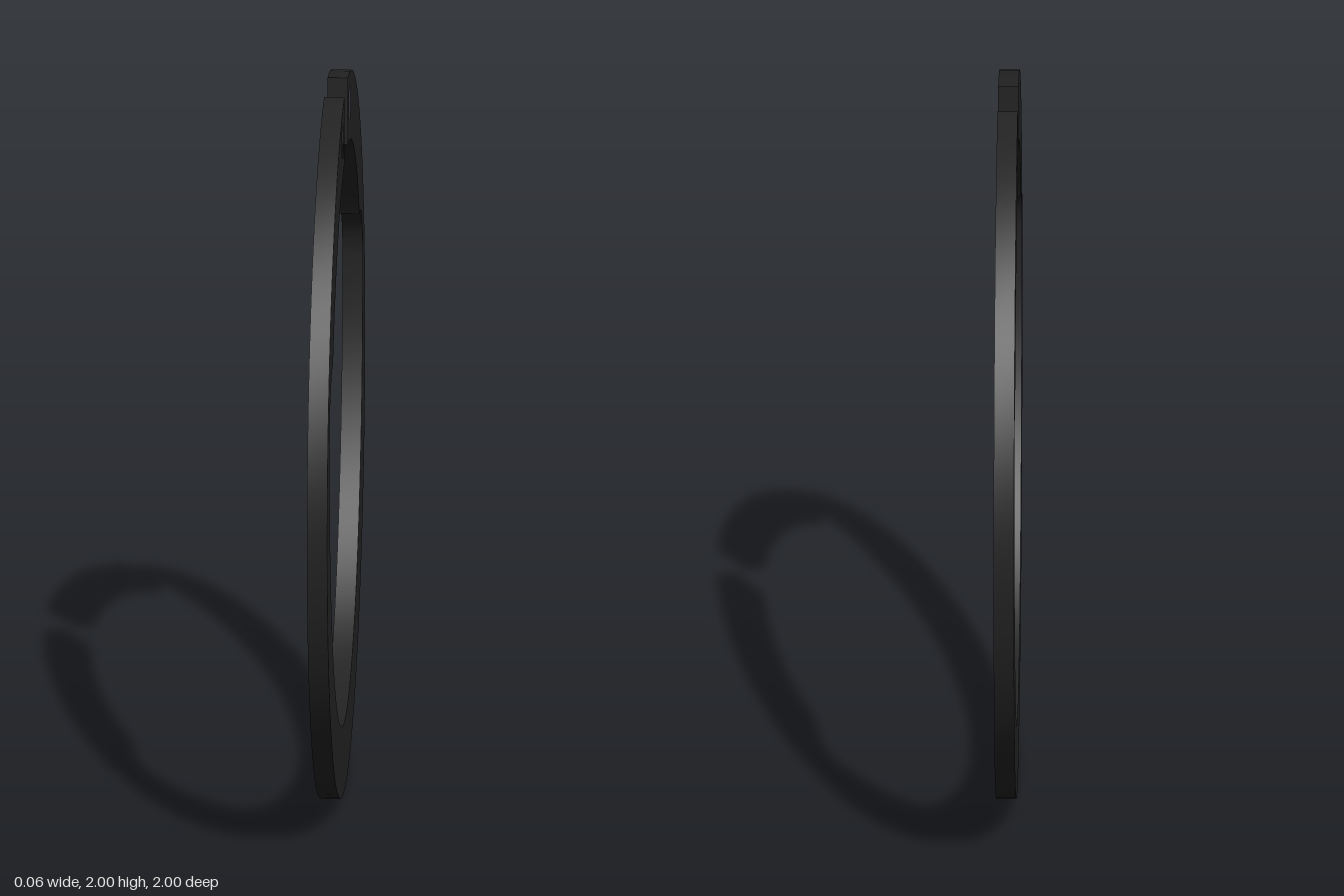
import * as THREE from 'three';
import { toCreasedNormals } from 'three/addons/utils/BufferGeometryUtils.js';

const OUTER = 1, INNER = 0.81, GAP = 0.09, THICKNESS = 0.056;
const CY = 1;              // height of the ring centre
const NOTCH = 0.18;        // radius of the rounded notch
const NOTCH_X = 0.695, NOTCH_Y = 1.24;
const BOW_Y = 1.2;         // centre of the elliptical lower opening

function ringShape() {
  const s = new THREE.Shape();
  const a = Math.acos(GAP / OUTER);
  const b = Math.acos(GAP / INNER);
  const c = Math.acos(NOTCH_X / INNER);

  // outer edge, clockwise from one side of the gap to the other
  s.moveTo(GAP, CY + Math.sin(a) * OUTER);
  s.absarc(0, CY, OUTER, a, -Math.PI - a, true);
  s.absarc(0, CY, OUTER, Math.PI - a, Math.PI - a, true);

  // inner edge back: lug arc, notch, tapering bow, notch, lug arc
  s.lineTo(-GAP, CY + Math.sin(b) * INNER);
  s.absarc(0, CY, INNER, Math.PI - b, Math.PI - c, false);
  s.absarc(-NOTCH_X, NOTCH_Y, NOTCH, Math.PI / 2, Math.PI, false);
  s.absellipse(0, BOW_Y, NOTCH_X + NOTCH, BOW_Y - 0.195, Math.PI, 2 * Math.PI, false, 0);
  s.absarc(NOTCH_X, NOTCH_Y, NOTCH, 0, Math.PI / 2, false);
  s.absarc(0, CY, INNER, c, b, false);
  s.closePath();

  // plier holes in both lugs
  for (const side of [-1, 1]) {
    const hole = new THREE.Path();
    hole.absarc(side * 0.182, 1.896, 0.047, 0, Math.PI * 2, true);
    s.holes.push(hole);
  }
  return s;
}

export function createModel() {
  const group = new THREE.Group();
  group.name = 'retainingRing';

  const darkSteel = new THREE.MeshStandardMaterial({ color: 0x232323 });
  darkSteel.name = 'dark steel';

  // flat ring standing in the YZ plane
  let geometry = new THREE.ExtrudeGeometry(cleanShape(ringShape()), {
    depth: THICKNESS, bevelEnabled: false, curveSegments: 48,
  });
  geometry.translate(0, 0, -THICKNESS / 2);
  geometry.rotateY(-Math.PI / 2);
  geometry = toCreasedNormals(geometry, Math.PI / 6);

  const ring = new THREE.Mesh(geometry, darkSteel);
  ring.name = 'ring';
  group.add(ring);
  return group;
}

// Sample the outline evenly and drop coincident points
function cleanShape(shape) {
  const pts = shape.getPoints(48).filter((p, i, all) => i === 0 || p.distanceTo(all[i - 1]) > 1e-4);
  if (pts[0].distanceTo(pts[pts.length - 1]) < 1e-4) pts.pop();
  const clean = new THREE.Shape(pts);
  clean.holes = shape.holes;
  return clean;
}
